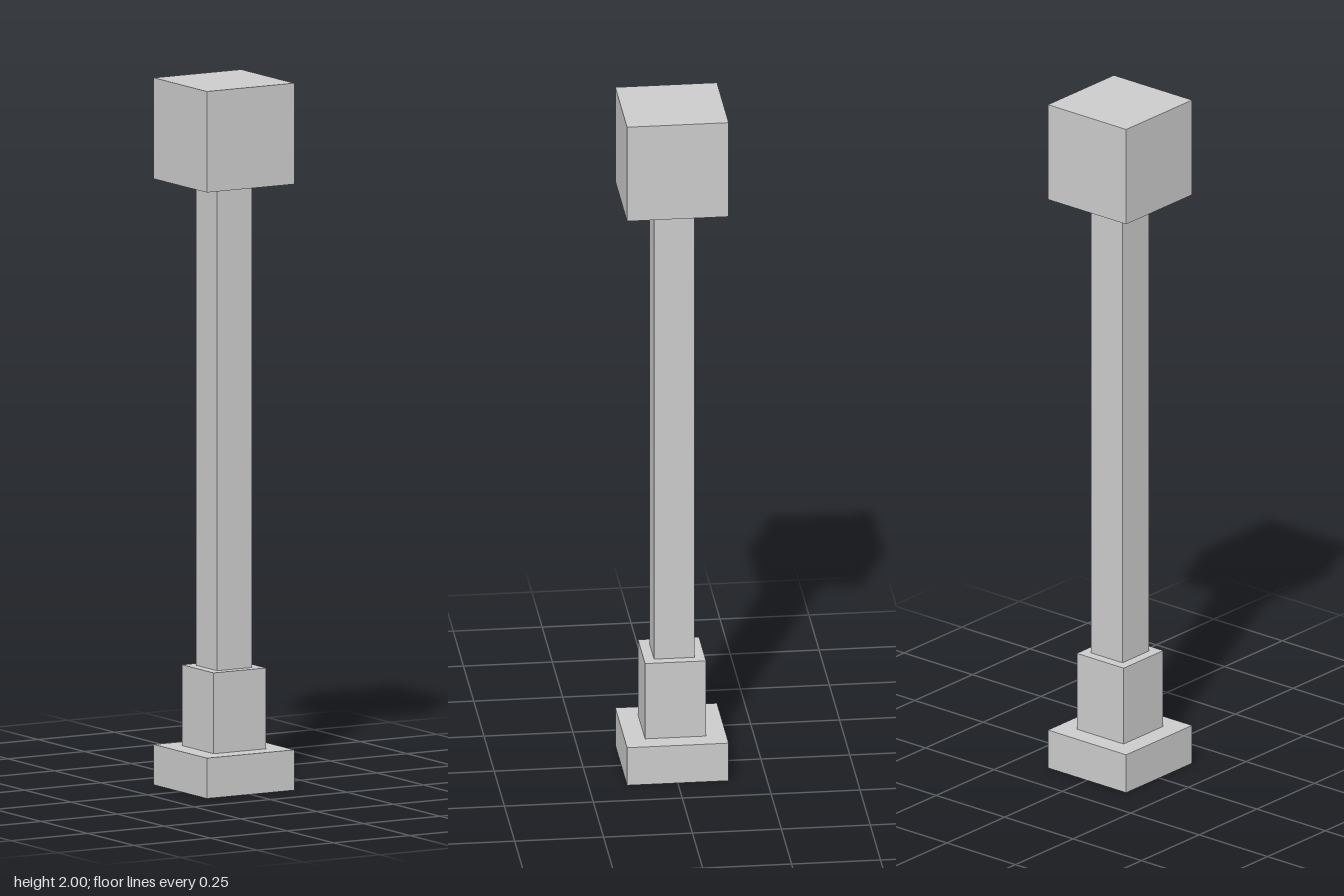
import * as THREE from 'three';

// The post is laid out on a grid of 35 units in height
const U = 2 / 35;

export function createModel() {
  const group = new THREE.Group();
  group.name = 'lampPost';
  const material = new THREE.MeshStandardMaterial({ color: 0xcccccc, flatShading: true });

  // Square block of a given width between two heights, in grid units
  const addBlock = (name, width, bottom, top) => {
    const geometry = new THREE.BoxGeometry(width * U, (top - bottom) * U, width * U);
    const mesh = new THREE.Mesh(geometry, material);
    mesh.name = name;
    mesh.position.y = ((bottom + top) / 2) * U;
    group.add(mesh);
  };

  addBlock('basePlate', 5, 0, 2);
  addBlock('pedestal', 3, 2, 6);
  addBlock('shaft', 2, 6, 30);
  addBlock('lampHead', 5, 30, 35);

  return group;
}
